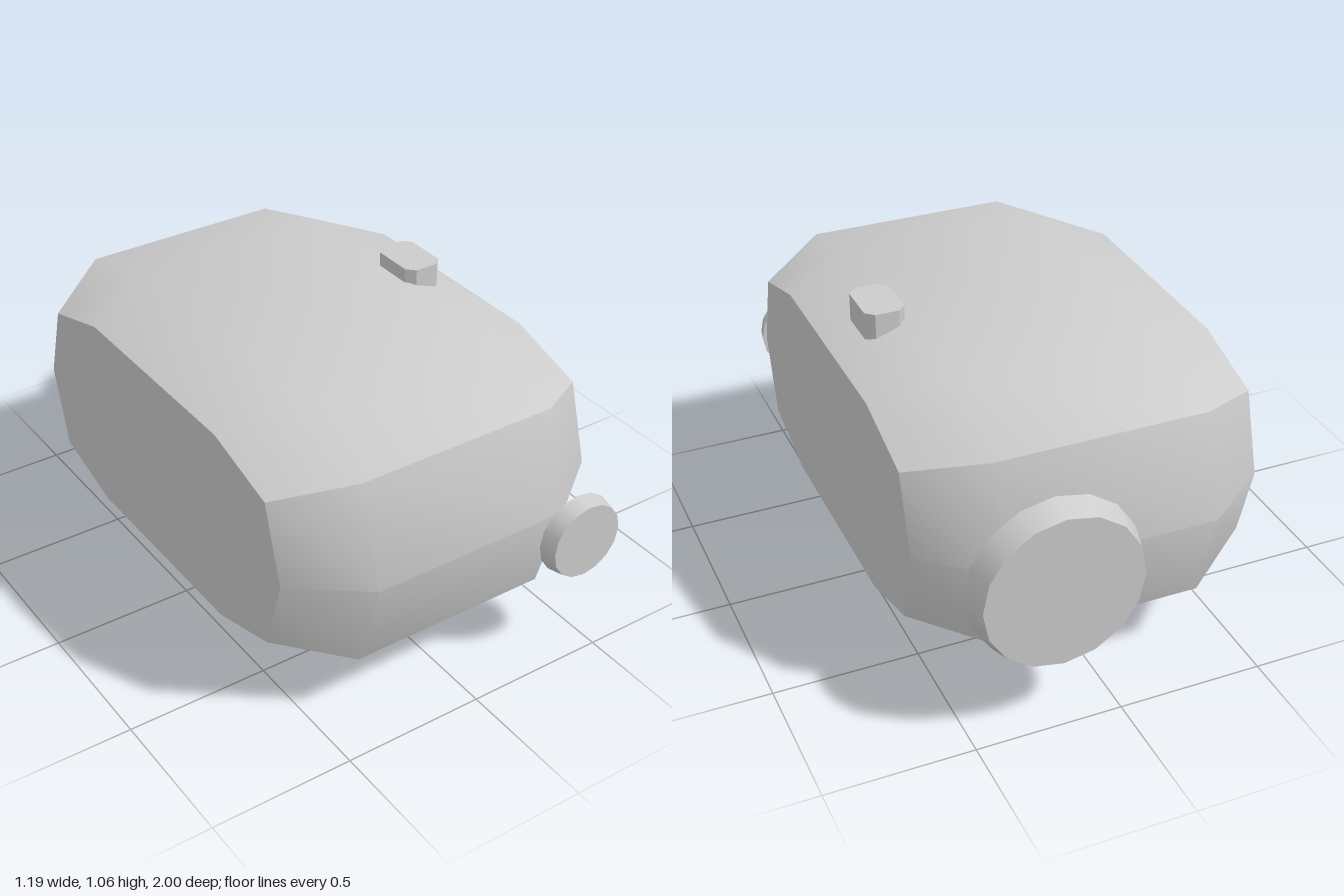
import * as THREE from 'three';
import { toCreasedNormals } from 'three/addons/utils/BufferGeometryUtils.js';

const grey = new THREE.MeshStandardMaterial({ color: 0xcccccc });
grey.name = 'light grey';

const CENTRE_Y = 0.57, CENTRE_Z = 0.015;

// Ten-sided outline in (z, y), mirrored from one quarter
function outline(quarter) {
  const [side, corner, top] = quarter;
  return [
    side, corner, top,
    [-top[0], top[1]], [-corner[0], corner[1]], [-side[0], 0],
    [-corner[0], -corner[1]], [-top[0], -top[1]],
    [top[0], -top[1]], [corner[0], -corner[1]],
  ].map(([z, y]) => [z + CENTRE_Z, y + CENTRE_Y]);
}

// Body lofted along x: full-size middle with narrowing ends
function bodyGeometry() {
  const big = outline([[0.925, 0], [0.825, 0.34], [0.485, 0.44]]);
  const small = outline([[0.745, 0], [0.665, 0.27], [0.385, 0.353]]);
  const rings = [[-0.597, small], [-0.36, big], [0.36, big], [0.597, small]];
  const n = big.length, positions = [], index = [];
  for (const [x, ring] of rings) for (const [z, y] of ring) positions.push(x, y, z);
  for (let r = 0; r < rings.length - 1; r++) {
    for (let i = 0; i < n; i++) {
      const a = r * n + i, b = r * n + (i + 1) % n;
      index.push(a, a + n, b, b, a + n, b + n);
    }
  }
  // flat end caps
  const last = (rings.length - 1) * n;
  for (let i = 1; i < n - 1; i++) {
    index.push(0, i, i + 1, last, last + i + 1, last + i);
  }
  const g = new THREE.BufferGeometry();
  g.setAttribute('position', new THREE.Float32BufferAttribute(positions, 3));
  g.setIndex(index);
  return toCreasedNormals(g, 0.7);
}

// Upright block with chamfered vertical corners
function chamferedBlock(x0, x1, y0, y1, z0, z1, c) {
  const s = new THREE.Shape([
    [x0 + c, -z1], [x1 - c, -z1], [x1, -z1 + c], [x1, -z0 - c],
    [x1 - c, -z0], [x0 + c, -z0], [x0, -z0 - c], [x0, -z1 + c],
  ].map(([x, y]) => new THREE.Vector2(x, y)));
  const g = new THREE.ExtrudeGeometry(s, { depth: y1 - y0, bevelEnabled: false });
  return g.rotateX(-Math.PI / 2).translate(0, y0, 0);
}

// Tapered disc along z, from z0 (back) to z1 (front)
function disc(x, y, z0, z1, backR, frontR, sides) {
  const g = new THREE.CylinderGeometry(frontR, backR, z1 - z0, sides);
  return g.rotateX(Math.PI / 2).translate(x, y, (z0 + z1) / 2);
}

export function createModel() {
  const model = new THREE.Group();
  const add = (name, geometry) => {
    const mesh = new THREE.Mesh(geometry, grey);
    mesh.name = name;
    model.add(mesh);
  };
  add('body', bodyGeometry());
  add('frontDial', disc(0.42, 0.465, 0.94, 1, 0.146, 0.134, 16));
  add('backDial', disc(0.205, 0.518, -1, -0.91, 0.27, 0.295, 16));
  add('topButton', chamferedBlock(0.35, 0.488, 0.96, 1.06, -0.088, 0.112, 0.028));
  add('base', chamferedBlock(-0.35, 0.418, 0, 0.13, -0.26, 0.288, 0.04));
  return model;
}
